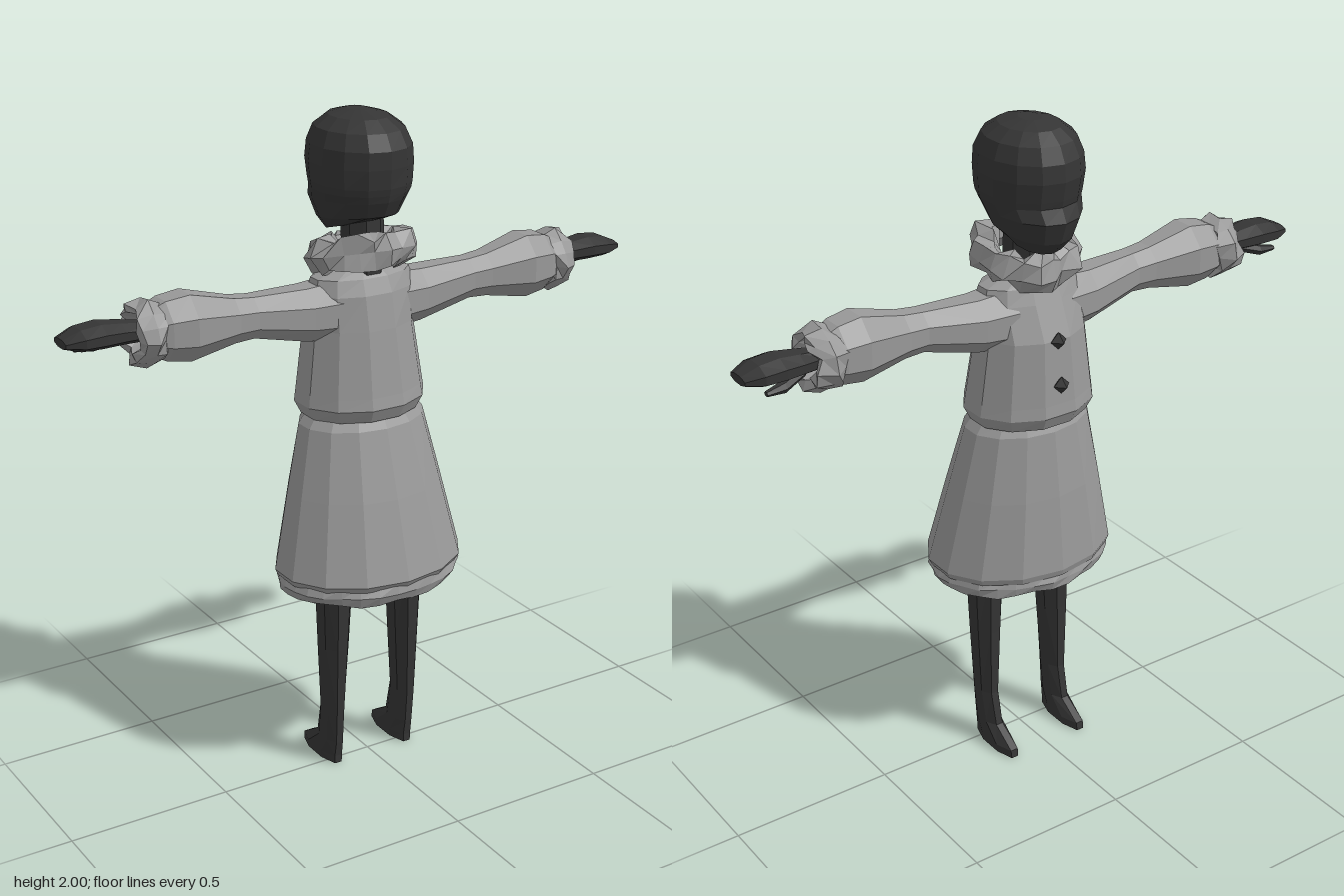
import * as THREE from 'three';
import { mergeVertices } from 'three/addons/utils/BufferGeometryUtils.js';

const coat = new THREE.MeshStandardMaterial({ color: 0x999999, side: THREE.DoubleSide });
coat.name = 'coat grey';
const dark = new THREE.MeshStandardMaterial({ color: 0x353535 });
dark.name = 'dark grey';

// Split all faces so each gets its own flat normal
function facet(geo) {
  const flat = geo.index ? geo.toNonIndexed() : geo;
  flat.computeVertexNormals();
  return flat;
}

// Skin elliptical sections [y, centreX, centreZ, halfX, halfZ, frontDrop], listed from bottom to top
function loft(sections, sides, capBottom = true, capTop = true) {
  const pos = [], index = [];
  for (const [y, cx, cz, a, b, drop = 0] of sections) {
    for (let j = 0; j < sides; j++) {
      const t = ((j + 0.5) / sides) * Math.PI * 2;
      const grow = 1 / Math.cos(Math.PI / sides / 2);
      pos.push(cx + a * grow * Math.cos(t), y - drop * Math.sin(t), cz - b * grow * Math.sin(t));
    }
  }
  for (let i = 0; i < sections.length - 1; i++) {
    for (let j = 0; j < sides; j++) {
      const k = (j + 1) % sides;
      const p = i * sides + j, q = i * sides + k;
      index.push(p, q, q + sides, p, q + sides, p + sides);
    }
  }
  const last = (sections.length - 1) * sides;
  for (let j = 1; j < sides - 1; j++) {
    if (capBottom) index.push(0, j + 1, j);
    if (capTop) index.push(last, last + j, last + j + 1);
  }
  const geo = new THREE.BufferGeometry();
  geo.setAttribute('position', new THREE.Float32BufferAttribute(pos, 3));
  geo.setIndex(index);
  return facet(geo);
}

// Crumpled fur ring around the y axis
function frill(a, b, tube, height, around, seed, rough) {
  let s = seed;
  const rand = () => (s = (s * 16807) % 2147483647) / 2147483647 - 0.5;
  let geo = new THREE.TorusGeometry(1, tube, 6, around);
  geo.deleteAttribute('normal');
  geo.deleteAttribute('uv');
  geo = mergeVertices(geo, 1e-4);
  const p = geo.attributes.position;
  for (let i = 0; i < p.count; i++) {
    const swell = 1 + rand() * tube * rough;
    p.setXYZ(i, p.getX(i) * swell, p.getY(i) * swell, p.getZ(i) * (1 + rand() * rough));
  }
  geo.rotateX(Math.PI / 2);
  geo.scale(a, height / tube, b);
  return facet(geo);
}

function part(parent, name, geo, material) {
  const mesh = new THREE.Mesh(geo, material);
  mesh.name = name;
  parent.add(mesh);
  return mesh;
}

export function createModel() {
  const model = new THREE.Group();
  model.name = 'girl in coat';

  // Head with a shallow crease at the eyes; the face looks toward -z
  part(model, 'head', loft([
    [1.665, 0, -0.075, 0.075, 0.085, 0.025],
    [1.70, 0, -0.055, 0.105, 0.142, 0.02],
    [1.755, 0, -0.055, 0.128, 0.165, 0.01],
    [1.785, 0, -0.042, 0.138, 0.158],
    [1.805, 0, -0.042, 0.141, 0.163],
    [1.86, 0, -0.045, 0.145, 0.17],
    [1.91, 0, -0.043, 0.14, 0.167],
    [1.955, 0, -0.045, 0.122, 0.143],
    [1.985, 0, -0.048, 0.082, 0.1],
    [2.0, 0, -0.05, 0.03, 0.04],
  ], 14), dark);
  part(model, 'neck', loft([[1.5, 0, -0.02, 0.06, 0.06], [1.72, 0, -0.03, 0.06, 0.065]], 8), dark);

  // Jacket and its fur collar
  part(model, 'jacket', loft([
    [1.125, 0, -0.045, 0.18, 0.145],
    [1.165, 0, -0.045, 0.2, 0.166],
    [1.2, 0, -0.046, 0.195, 0.16],
    [1.39, 0, -0.052, 0.168, 0.137],
    [1.49, 0, -0.04, 0.168, 0.105],
    [1.535, 0, -0.04, 0.155, 0.085],
    [1.56, 0, -0.04, 0.09, 0.06],
  ], 12), coat);
  const collar = part(model, 'collar', frill(0.115, 0.115, 0.36, 0.05, 20, 11, 0.75), coat);
  collar.position.set(0, 1.602, -0.02);
  collar.rotation.x = -0.22;

  // Two diamond buttons on the chest
  for (const [y, z] of [[1.39, -0.19], [1.26, -0.206]]) {
    const button = part(model, 'button', facet(new THREE.OctahedronGeometry(0.026)), dark);
    button.position.set(0, y, z);
  }

  // Flared skirt, open below, with a fur hem
  part(model, 'skirt', loft([
    [0.645, 0, 0, 0.285, 0.218],
    [0.665, 0, 0.003, 0.295, 0.227],
    [0.9, 0, -0.018, 0.243, 0.184],
    [1.1, 0, -0.035, 0.197, 0.142],
    [1.13, 0, -0.037, 0.175, 0.125],
  ], 14, false, true), coat);
  part(model, 'skirtHem', frill(0.268, 0.206, 0.07, 0.031, 30, 5, 0.6), coat)
    .position.set(0, 0.628, 0.003);

  // One arm and leg per side, the second mirrored
  for (const [side, sign] of [['left', 1], ['right', -1]]) {
    const limbs = new THREE.Group();
    limbs.name = side + 'Limbs';
    limbs.scale.x = sign;
    model.add(limbs);

    // Arm parts are lofted upright, then laid along +x
    const arm = new THREE.Group();
    arm.name = side + 'Arm';
    arm.rotation.z = -Math.PI / 2;
    arm.position.y = 1.47;
    limbs.add(arm);
    part(arm, 'sleeve', loft([
      [0.09, 0.03, -0.045, 0.09, 0.095],
      [0.19, 0.03, -0.045, 0.082, 0.082],
      [0.36, 0.008, -0.036, 0.063, 0.06],
      [0.42, 0.006, -0.036, 0.068, 0.064],
      [0.56, 0, -0.038, 0.1, 0.092],
      [0.63, 0, -0.042, 0.09, 0.083],
      [0.68, 0, -0.045, 0.065, 0.065],
    ], 8), coat);
    part(arm, 'cuff', frill(0.07, 0.072, 0.36, 0.046, 13, 29, 0.75), coat)
      .position.set(0, 0.677, -0.045);
    part(arm, 'hand', loft([
      [0.66, 0, -0.05, 0.026, 0.035],
      [0.75, -0.008, -0.055, 0.032, 0.056],
      [0.81, -0.012, -0.055, 0.036, 0.068],
      [0.87, -0.01, -0.055, 0.032, 0.066],
      [0.92, -0.006, -0.055, 0.013, 0.042],
    ], 8), dark);
    part(arm, 'thumb', loft([
      [0.74, 0.01, -0.075, 0.014, 0.018],
      [0.81, 0.03, -0.095, 0.016, 0.018],
      [0.865, 0.034, -0.1, 0.007, 0.01],
    ], 6), dark);

    // Tapered leg running down into a pointed foot
    part(limbs, 'leg', loft([
      [0, 0.125, -0.062, 0.03, 0.1],
      [0.025, 0.125, -0.06, 0.032, 0.098],
      [0.075, 0.125, -0.016, 0.029, 0.06],
      [0.18, 0.126, 0, 0.031, 0.052],
      [0.4, 0.124, 0.004, 0.043, 0.06],
      [0.62, 0.122, 0.007, 0.053, 0.068],
      [0.95, 0.105, -0.01, 0.06, 0.07],
    ], 8), dark);
  }
  return model;
}
